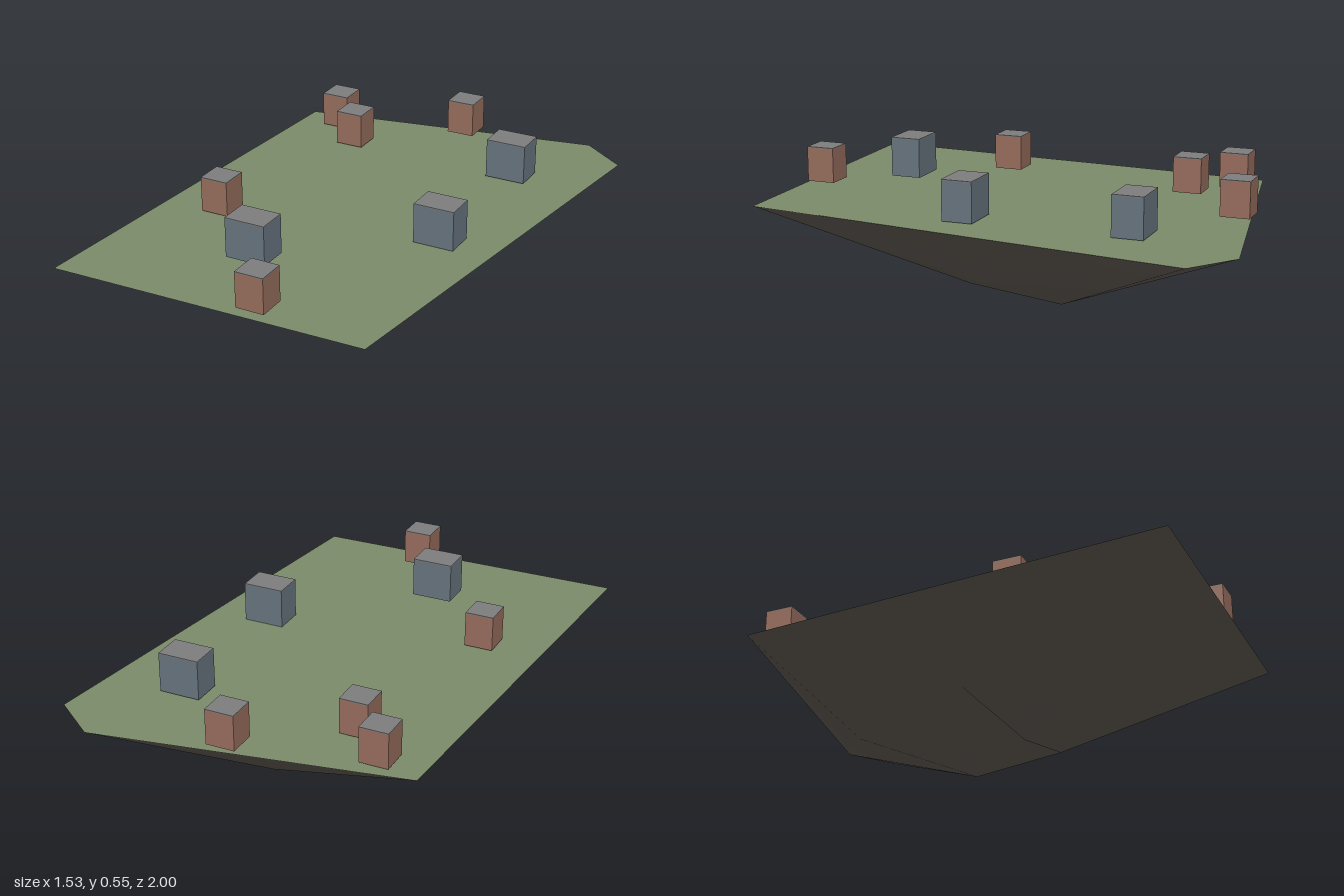
import * as THREE from 'three';

const mat = (color, side = THREE.FrontSide) => new THREE.MeshStandardMaterial({ color, side });

function surface(points, index) {
  const g = new THREE.BufferGeometry();
  g.setAttribute('position', new THREE.Float32BufferAttribute(points.flat(), 3));
  g.setIndex(index);
  g.computeVertexNormals();
  return g;
}

export function createModel() {
  const model = new THREE.Group();
  const add = (name, geometry, material, parent = model) => {
    const m = new THREE.Mesh(geometry, material);
    m.name = name;
    parent.add(m);
    return m;
  };

  // Flat plateau outline, counter-clockwise from above
  const Y = 0.36;
  const rim = [[-0.77, Y, 1], [0.53, Y, 0.98], [0.765, Y, -0.86], [0.58, Y, -1], [-0.65, Y, -0.775]];
  add('grassTop', surface(rim, [0, 1, 2, 0, 2, 3, 0, 3, 4]), mat(0x7a8a68));

  // Rocky underside: one lower point per rim corner, plus the lowest tip
  const lower = [
    [-0.4, 0.075, 0.5], [0.35, 0.087, 0.13], [0.35, 0.043, -0.25],
    [0, 0.145, -0.62], [-0.31, 0.137, -0.01],
  ];
  const tip = [-0.02, 0, 0.13];
  const index = [];
  for (let i = 0; i < 5; i++) {
    const j = (i + 1) % 5;
    index.push(5 + i, 5 + j, j, 5 + i, j, i);
  }
  index.push(5, 10, 6, 5, 9, 10, 10, 9, 6, 9, 7, 6, 9, 8, 7);
  add('rockUnderside', surface([...rim, ...lower, tip], index), mat(0x5c564f));

  // Houses: small brick ones and larger slate ones, each with a grey roof
  const brick = { w: 0.117, h: 0.145, d: 0.117, wall: mat(0x946b5b) };
  const slate = { w: 0.168, h: 0.163, d: 0.125, wall: mat(0x66727d) };
  const roofMat = mat(0x7c7c7c);
  const houses = [
    [brick, -0.478, 0.37, -0.708], [brick, -0.327, 0.37, -0.555],
    [brick, 0.058, 0.385, -0.857], [brick, -0.478, 0.37, 0.285],
    [brick, 0.058, 0.375, 0.902], [slate, 0.403, 0.365, -0.555],
    [slate, 0.403, 0.363, 0.123], [slate, -0.143, 0.385, 0.598],
  ];
  const roofT = 0.004;
  houses.forEach(([t, x, y, z]) => {
    const house = new THREE.Group();
    house.name = t === brick ? 'brickHouse' : 'slateHouse';
    house.position.set(x, y, z);
    add('walls', new THREE.BoxGeometry(t.w, t.h - roofT, t.d), t.wall, house).position.y = (t.h - roofT) / 2;
    add('roof', new THREE.BoxGeometry(t.w, roofT, t.d), roofMat, house).position.y = t.h - roofT / 2;
    model.add(house);
  });

  return model;
}
